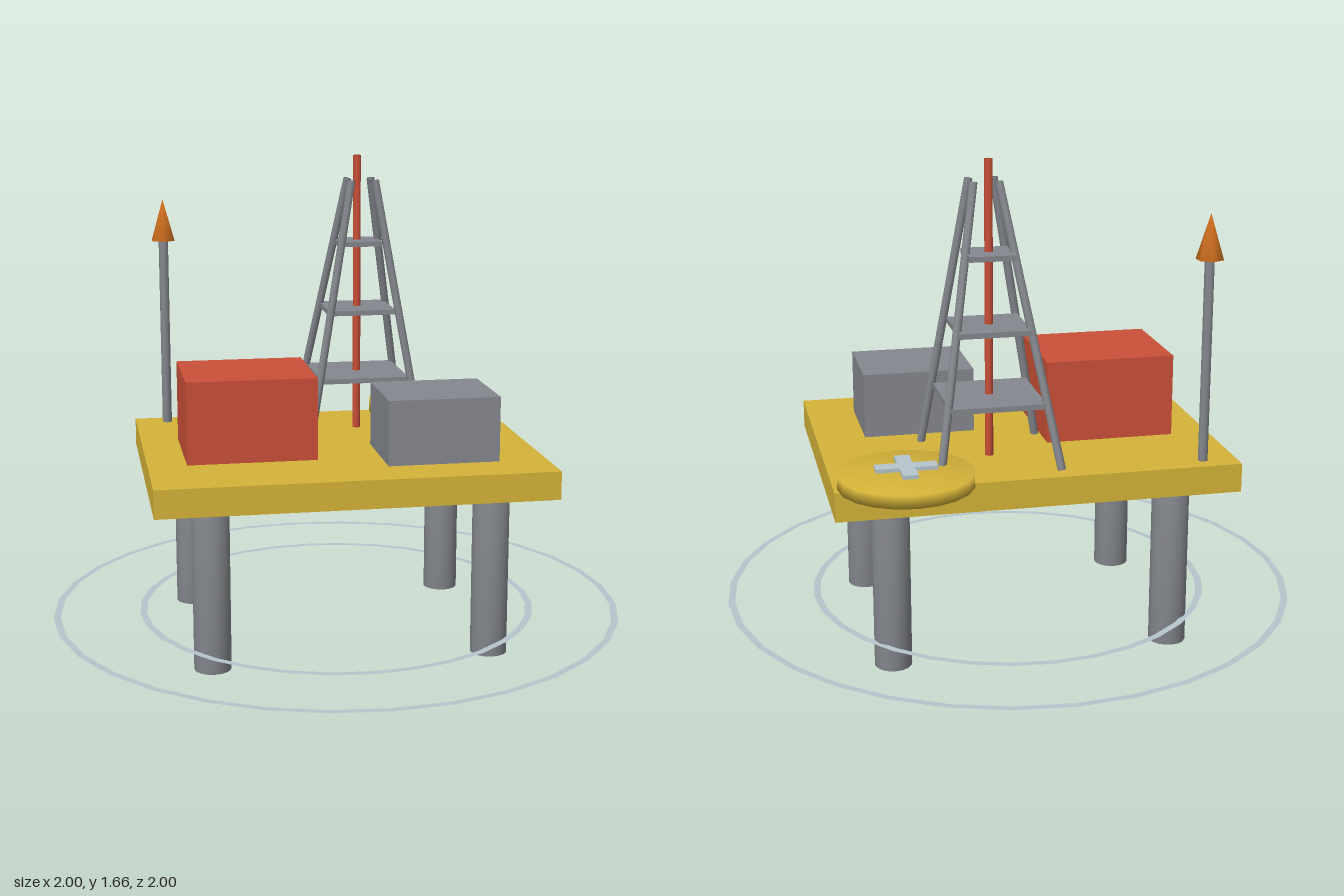
import * as THREE from 'three';
import { mergeVertices } from 'three/addons/utils/BufferGeometryUtils.js';

const mat = (name, color, side = THREE.FrontSide) => {
  const m = new THREE.MeshStandardMaterial({ color, side });
  m.name = name;
  return m;
};

// Share vertices between sides and caps so the rims shade softly
function soften(geometry) {
  geometry.deleteAttribute('normal');
  geometry.deleteAttribute('uv');
  const merged = mergeVertices(geometry);
  merged.computeVertexNormals();
  return merged;
}

export function createModel() {
  const model = new THREE.Group();
  model.name = 'offshorePlatform';

  const yellow = mat('deckYellow', 0xd4b238);
  const red = mat('red', 0xc94f38);
  const gray = mat('steelGray', 0x84878d);
  const orange = mat('flameOrange', 0xd0701e);
  const pale = mat('paleBlueGray', 0xb4c5cc, THREE.DoubleSide);

  const add = (name, geometry, material, x, y, z, parent = model) => {
    const mesh = new THREE.Mesh(geometry, material);
    mesh.name = name;
    mesh.position.set(x, y, z);
    parent.add(mesh);
    return mesh;
  };
  // Box given by its extents along each axis
  const block = (name, material, [x0, x1], [y0, y1], [z0, z1], parent) =>
    add(name, new THREE.BoxGeometry(x1 - x0, y1 - y0, z1 - z0), material,
      (x0 + x1) / 2, (y0 + y1) / 2, (z0 + z1) / 2, parent);
  // Round rod between two points
  const rod = (name, material, a, b, radius, sides, parent) => {
    const from = new THREE.Vector3(...a), to = new THREE.Vector3(...b);
    const dir = to.clone().sub(from);
    const geometry = soften(new THREE.CylinderGeometry(radius, radius, dir.length(), sides));
    const mid = from.add(to).multiplyScalar(0.5);
    const mesh = add(name, geometry, material, mid.x, mid.y, mid.z, parent);
    mesh.quaternion.setFromUnitVectors(new THREE.Vector3(0, 1, 0), dir.normalize());
    return mesh;
  };

  // Deck and its four supporting columns
  block('deck', yellow, [-0.672, 0.672], [0.575, 0.672], [-0.542, 0.482]);
  for (const x of [-0.477, 0.477]) {
    for (const z of [-0.392, 0.321]) {
      rod('supportColumn', gray, [x, 0, z], [x, 0.555, z], 0.063, 16);
    }
  }

  // Deck buildings
  block('quartersBlock', red, [-0.54, -0.096], [0.672, 0.955], [-0.19, 0.19]);
  block('equipmentBlock', gray, [0.122, 0.505], [0.672, 0.895], [0, 0.317]);

  // Drilling derrick: splayed legs, platforms and drill pipe
  const derrick = new THREE.Group();
  derrick.name = 'derrick';
  model.add(derrick);
  const cx = 0.123, cz = -0.272;
  for (const s of [-1, 1]) {
    rod('derrickLeg', gray, [cx + s * 0.2, 0.672, -0.08], [cx + s * 0.042, 1.585, -0.152], 0.014, 8, derrick);
    rod('derrickLeg', gray, [cx + s * 0.2, 0.672, -0.475], [cx + s * 0.042, 1.585, -0.236], 0.014, 8, derrick);
  }
  for (const [y, half] of [[0.877, 0.16], [1.115, 0.12], [1.355, 0.078]]) {
    add('derrickPlatform', new THREE.BoxGeometry(half * 2, 0.018, half * 2), gray, cx, y, cz, derrick);
  }
  rod('drillPipe', red, [cx, 0.672, cz], [cx, 1.665, cz], 0.014, 8, derrick);

  // Helicopter pad with cross marking
  const pad = new THREE.Group();
  pad.name = 'helipad';
  pad.position.set(0.44, 0, -0.508);
  model.add(pad);
  add('padDisc', soften(new THREE.CylinderGeometry(0.22, 0.22, 0.044, 20)), yellow, 0, 0.693, 0, pad);
  block('padCrossBar', pale, [-0.1, 0.1], [0.725, 0.738], [-0.025, 0.025], pad);
  for (const s of [-1, 1]) {
    add('padCrossArm', new THREE.BoxGeometry(0.05, 0.013, 0.075), pale, 0, 0.7315, s * 0.0625, pad);
  }

  // Flare stack
  rod('flarePole', gray, [-0.557, 0.672, -0.478], [-0.557, 1.36, -0.478], 0.017, 8);
  add('flareFlame', soften(new THREE.ConeGeometry(0.046, 0.15, 6)), orange, -0.557, 1.425, -0.478);

  // Flat ripple rings on the water
  for (const outer of [0.7, 1]) {
    const ring = add('waterRing', new THREE.RingGeometry(outer - 0.024, outer, 32), pale, 0, 0.095, 0);
    ring.rotation.x = -Math.PI / 2;
  }
  return model;
}
